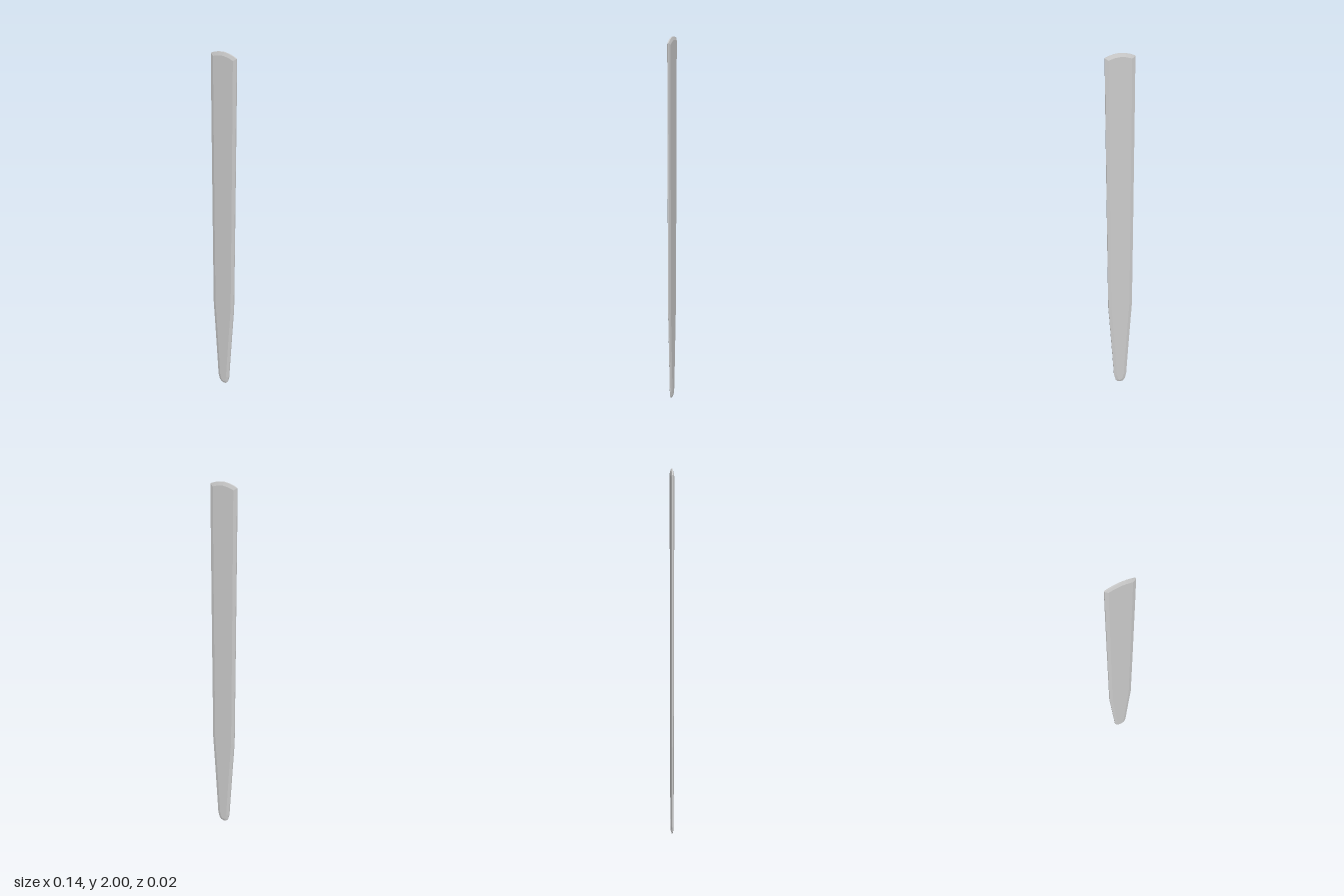
import * as THREE from 'three';

export function createModel() {
  const group = new THREE.Group();
  group.name = 'blade';

  // Right half of the outline, from the rounded tip up to the bowed top
  const half = [
    [0, 0], [0.016, 0.004], [0.027, 0.018], [0.036, 0.055], [0.044, 0.2],
    [0.055, 0.39], [0.066, 0.57], [0.068, 1.1], [0.07, 1.8], [0.07, 1.982],
    [0.052, 1.99], [0.027, 1.997], [0, 2],
  ].map(([x, y]) => new THREE.Vector2(x, y));
  const mirrored = half.slice(1, -1).reverse().map((p) => new THREE.Vector2(-p.x, p.y));
  const outline = new THREE.Shape([...half, ...mirrored]);

  // Thin slab, chamfered inwards all round on both faces
  const edge = 0.006, chamfer = 0.005, inset = 0.016;
  const geometry = new THREE.ExtrudeGeometry(outline, {
    depth: edge,
    bevelEnabled: true,
    bevelThickness: chamfer,
    bevelSize: inset,
    bevelOffset: -inset,
    bevelSegments: 1,
  });
  geometry.translate(0, 0, -edge / 2);

  const slat = new THREE.Mesh(geometry, new THREE.MeshStandardMaterial({ color: 0xcccccc }));
  slat.name = 'slat';
  group.add(slat);
  return group;
}
